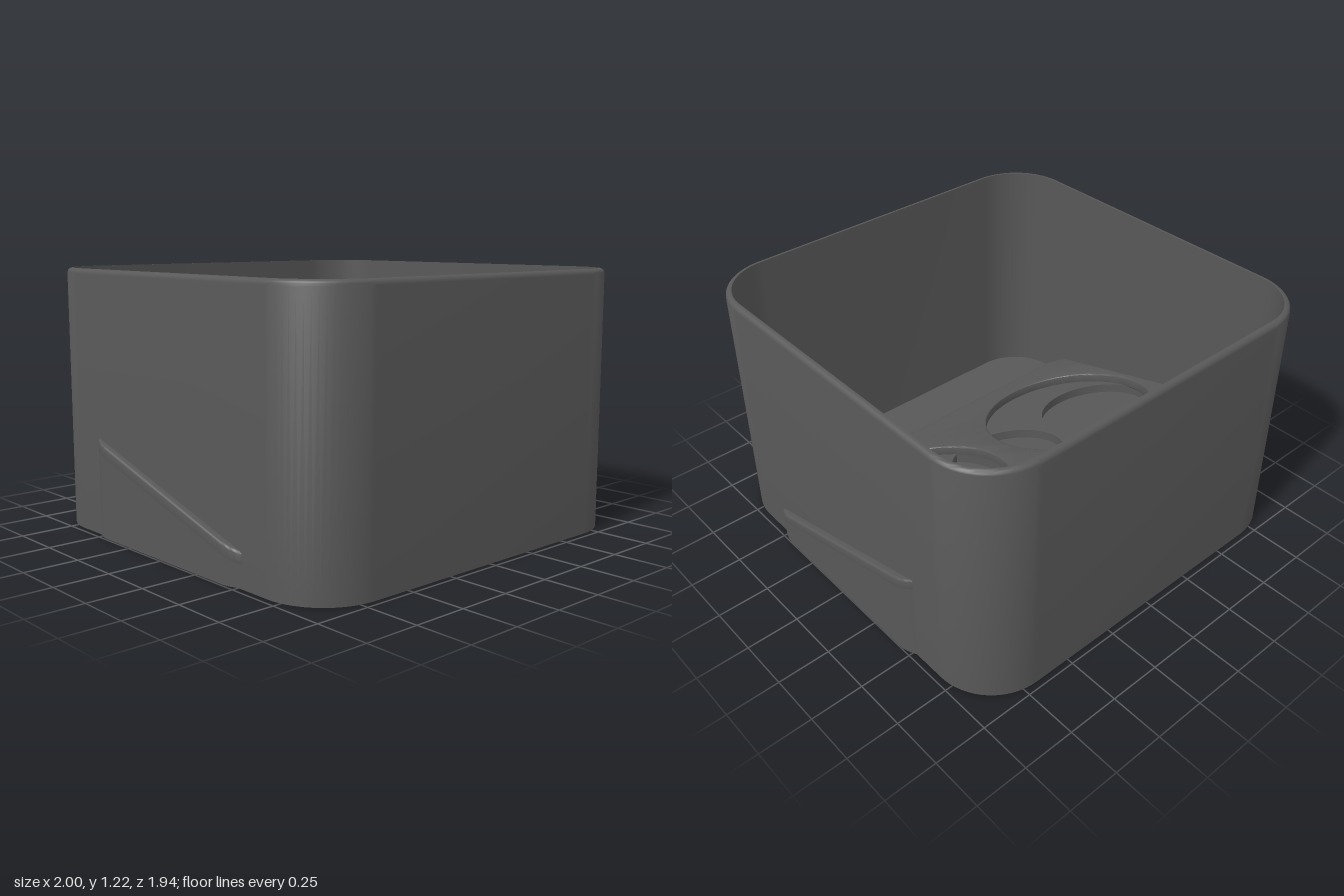
import * as THREE from 'three';
import { toCreasedNormals } from 'three/addons/utils/BufferGeometryUtils.js';

const material = new THREE.MeshStandardMaterial({ color: 0x585858 });
const CORNER_STEPS = 16;

// Counter-clockwise outline of a rounded rectangle
function roundedOutline(halfX, halfY, r) {
  const points = [];
  for (let corner = 0; corner < 4; corner++) {
    const sx = corner === 0 || corner === 3 ? 1 : -1;
    const sy = corner < 2 ? 1 : -1;
    for (let i = 0; i <= CORNER_STEPS; i++) {
      const a = (corner + i / CORNER_STEPS) * Math.PI / 2;
      points.push(new THREE.Vector2(sx * (halfX - r) + r * Math.cos(a), sy * (halfY - r) + r * Math.sin(a)));
    }
  }
  return points;
}

function circle(x, z, r, steps = 72) {
  return Array.from({ length: steps }, (_, i) => {
    const a = i / steps * Math.PI * 2;
    return new THREE.Vector2(x + r * Math.cos(a), -z + r * Math.sin(a));
  });
}

// Overlap of two circles: one arc of each between their crossing points
function lens(a, b, steps = 24) {
  const dx = b.x - a.x, dz = b.z - a.z, d = Math.hypot(dx, dz);
  const points = [];
  for (const [c, o, dir] of [[a, b, Math.atan2(-dz, dx)], [b, a, Math.atan2(dz, -dx)]]) {
    const half = Math.acos((d * d + c.r * c.r - o.r * o.r) / (2 * d * c.r));
    for (let i = 0; i < steps; i++) {
      const t = dir - half + 2 * half * i / steps;
      points.push(new THREE.Vector2(c.x + c.r * Math.cos(t), -c.z + c.r * Math.sin(t)));
    }
  }
  return points;
}

// Upright slab whose faces follow heights given by z; rounded edges sink into the slab below
function slab(points, holes, low, high, round = 0) {
  const shape = new THREE.Shape(points);
  shape.holes = holes.map((h) => new THREE.Path(h));
  const geometry = new THREE.ExtrudeGeometry(shape, {
    depth: 1, bevelEnabled: round > 0, bevelThickness: round, bevelSize: round, bevelOffset: -round, bevelSegments: 3,
  });
  geometry.rotateX(-Math.PI / 2);
  const p = geometry.attributes.position;
  for (let i = 0; i < p.count; i++) {
    const y = p.getY(i), z = p.getZ(i);
    p.setY(i, y > 0.5 ? high(z) - round + y - 1 : low(z) + y);
  }
  return toCreasedNormals(geometry, 0.6);
}

// Skin over rounded outlines, each profile step giving [inset, height]
function loftWalls(half, radius, profile) {
  const position = [], index = [];
  const count = 4 * (CORNER_STEPS + 1);
  for (const [inset, y] of profile) {
    for (const p of roundedOutline(half - inset, half - inset, radius - inset)) position.push(p.x, y, -p.y);
  }
  for (let k = 0; k < profile.length - 1; k++) {
    for (let i = 0; i < count; i++) {
      const a = k * count + i, b = k * count + (i + 1) % count;
      index.push(a, b, b + count, a, b + count, a + count);
    }
  }
  const geometry = new THREE.BufferGeometry();
  geometry.setAttribute('position', new THREE.Float32BufferAttribute(position, 3));
  geometry.setIndex(index);
  return toCreasedNormals(geometry, 0.7);
}

export function createModel() {
  const model = new THREE.Group();
  const add = (name, geometry, parent = model) => {
    const mesh = new THREE.Mesh(geometry, material);
    mesh.name = name;
    parent.add(mesh);
  };

  // Open box whose rim is rounded on the outside
  const half = 0.97, radius = 0.29, wall = 0.028, height = 1.215, floorTop = 0.03, rim = 0.024;
  const rimArc = Array.from({ length: 6 }, (_, i) => {
    const a = i / 5 * Math.PI / 2;
    return [rim * (1 - Math.cos(a)), height - rim * (1 - Math.sin(a))];
  });
  add('boxWalls', loftWalls(half, radius, [[0, 0], ...rimArc, [wall, height], [wall, floorTop]]));
  add('boxFloor', slab(roundedOutline(half - wall / 2, half - wall / 2, radius - wall / 2), [], () => 0, () => floorTop - 1 + 1));
  add('boxUnderside', new THREE.ShapeGeometry(new THREE.Shape(roundedOutline(half, half, radius))).rotateX(Math.PI / 2));

  // Sloping wedge that passes through both side walls
  const wedge = new THREE.Group();
  wedge.name = 'wedge';
  model.add(wedge);
  const top = (drop) => (z) => 0.303 - 0.293 * z - drop;
  const outline = roundedOutline(1, 0.605, 0.18);
  const step = 0.05;

  // Two wide round recesses, with a row of three smaller ones sunk below them
  const wide = [-1, 1].map((side) => ({ x: side * 0.483, z: 0.051, r: 0.428 }));
  const middle = { x: -0.017, z: 0, r: 0.282 };
  const small = [circle(-0.632, -0.005, 0.282), circle(0.602, -0.005, 0.282)];
  add('wedgeBase', slab(outline, [], () => 0.005, top(2 * step)), wedge);
  add('smallRecesses', slab(outline, [...small, ...wide.map((w) => lens(w, middle))], top(2 * step), top(step)), wedge);
  add('wideRecesses', slab(outline, wide.map((w) => circle(w.x, w.z, w.r, 96)), top(step), top(0), 0.01), wedge);

  return model;
}
